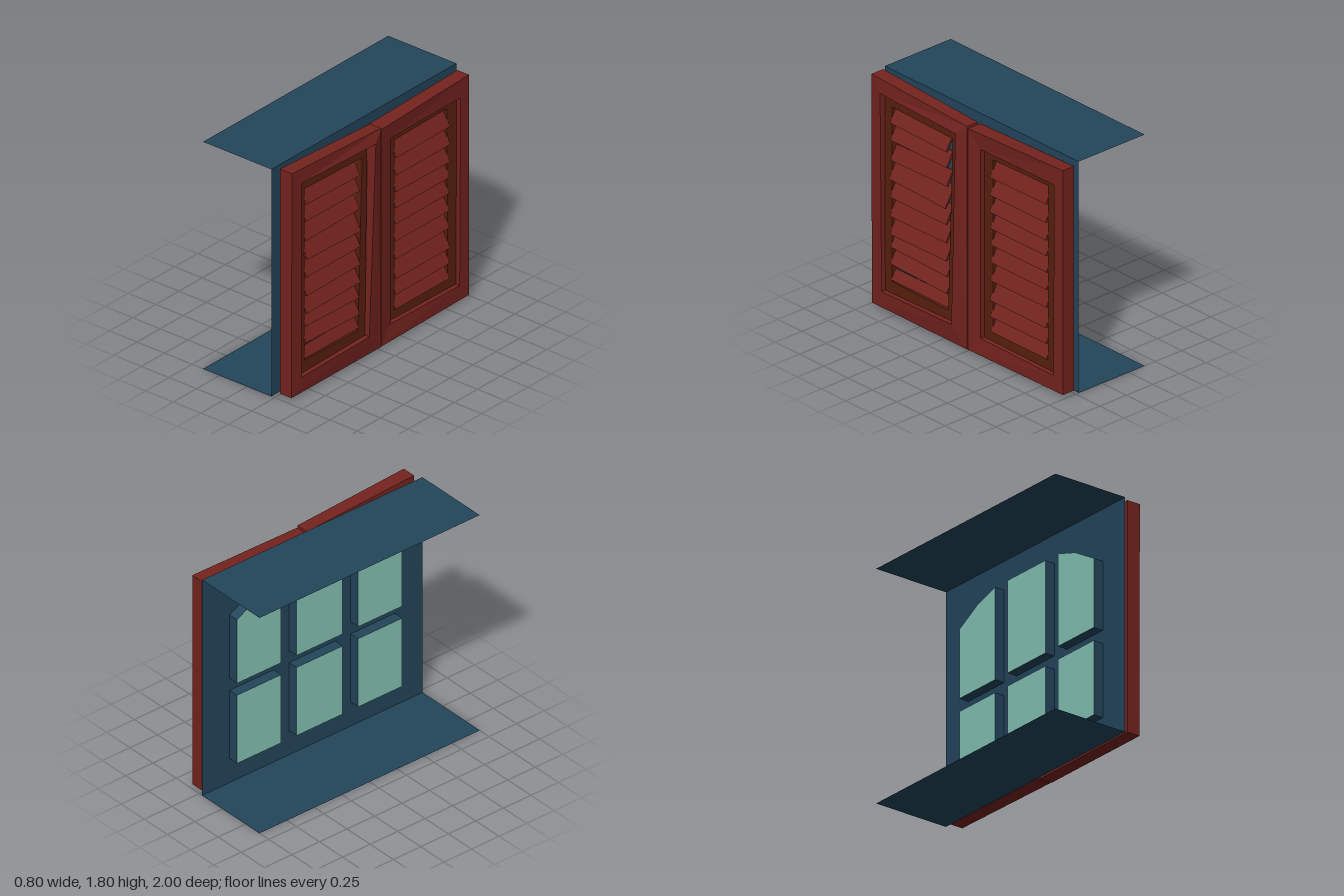
import * as THREE from 'three';

const BLUE = 0x23455b, RED = 0x74231e, DARK_RED = 0x58200f, GLASS = 0x84c2b4;
const material = (color, open = false) => new THREE.MeshStandardMaterial({
  color, flatShading: true, side: open ? THREE.DoubleSide : THREE.FrontSide,
});

function addMesh(parent, name, geometry, mat) {
  const mesh = new THREE.Mesh(geometry, mat);
  mesh.name = name;
  parent.add(mesh);
  return mesh;
}

// Skin between successive loops of [x, y, z] points
function skin(loops, closed) {
  const pos = [];
  const count = closed ? loops.length : loops.length - 1;
  for (let k = 0; k < count; k++) {
    const a = loops[k], b = loops[(k + 1) % loops.length];
    a.forEach((p, i) => {
      const j = (i + 1) % a.length;
      pos.push(...p, ...a[j], ...b[j], ...p, ...b[j], ...b[i]);
    });
  }
  const g = new THREE.BufferGeometry();
  g.setAttribute('position', new THREE.Float32BufferAttribute(pos, 3));
  g.computeVertexNormals();
  return g;
}

// Crooked frame; corners are [z, y] or [z, y, extra x], counterclockwise from +x
function frame(outer, inner, back, front) {
  const at = (loop, x, useExtra) => loop.map(([z, y, e = 0]) => [x + (useExtra ? e : 0), y, z]);
  return skin([at(outer, back), at(outer, front, true), at(inner, front, true), at(inner, back)], true);
}

// Shutter: outer frame, recessed inner frame and tilted slats [top, bottom, roll]
function shutter(name, s) {
  const group = new THREE.Group();
  group.name = name;
  addMesh(group, 'outerFrame', frame(s.outer, s.opening, s.back, s.front), material(RED));
  addMesh(group, 'innerFrame', frame(s.innerOuter, s.innerOpening, s.back + 0.015, s.front - 0.035), material(DARK_RED));
  const tilt = 0.5, thick = 0.016;
  s.slats.forEach(([top, bottom, roll]) => {
    const h = (top - bottom - thick * Math.sin(tilt)) / Math.cos(tilt);
    const slat = addMesh(group, 'slat', new THREE.BoxGeometry(thick, h, 0.58), material(RED));
    slat.position.set((s.back + s.front) / 2, (top + bottom) / 2, s.slatZ);
    slat.rotation.set(roll, 0, tilt);
  });
  return group;
}

// Pane outlines as [z, y]; the upper outer panes have arched corners
function paneOutlines() {
  const rect = (z0, z1, y0, y1) => [[z0, y0], [z1, y0], [z1, y1], [z0, y1]];
  const arched = [[0.35, 0.87], [0.75, 0.87], [0.75, 1.4], [0.54, 1.52], [0.35, 1.58]];
  const low = rect(0.35, 0.75, 0.2, 0.77);
  const mirror = (o) => o.map(([z, y]) => [-z, y]).reverse();
  return [low, mirror(low), rect(-0.21, 0.21, 0.2, 0.77),
    arched, mirror(arched), rect(-0.21, 0.21, 0.87, 1.58)];
}

export function createModel() {
  const model = new THREE.Group();
  const blue = material(BLUE, true);
  const wallX = 0.22, glassX = 0.14;
  const toPoints = (o) => o.map(([z, y]) => new THREE.Vector2(-z, y));

  // Wall sheet with window openings
  const panes = paneOutlines();
  const wall = new THREE.Shape(toPoints([[1, 0], [-1, 0], [-1, 1.8], [1, 1.8]]));
  panes.forEach((o) => wall.holes.push(new THREE.Path(toPoints(o))));
  addMesh(model, 'wall', new THREE.ShapeGeometry(wall).rotateY(Math.PI / 2).translate(wallX, 0, 0), blue);

  // Recess sides and glass panes
  panes.forEach((o) => {
    const at = (x) => o.map(([z, y]) => [x, y, z]);
    addMesh(model, 'windowRecess', skin([at(wallX), at(glassX)], false), blue);
    const glass = new THREE.ShapeGeometry(new THREE.Shape(toPoints(o)));
    addMesh(model, 'glassPane', glass.rotateY(Math.PI / 2).translate(glassX, 0, 0), material(GLASS, true));
  });

  // Thin top and bottom ledges
  [['topLedge', 1.8], ['bottomLedge', 0]].forEach(([name, y]) => {
    const sheet = new THREE.PlaneGeometry(0.62, 2).rotateX(-Math.PI / 2);
    addMesh(model, name, sheet.translate(-0.09, y, 0), blue);
  });

  // Front shutter
  model.add(shutter('frontShutter', {
    back: 0.267, front: 0.378, slatZ: 0.5,
    outer: [[0.965, 1.805], [0.965, 0.025, -0.005], [-0.01, 0.02, -0.01], [-0.01, 1.755, -0.01]],
    opening: [[0.87, 1.69, 0.005], [0.86, 0.15], [0.135, 0.165, 0.005], [0.08, 1.675, 0.018]],
    innerOuter: [[0.865, 1.67], [0.86, 0.15], [0.135, 0.165], [0.11, 1.66]],
    innerOpening: [[0.79, 1.6], [0.79, 0.24], [0.21, 0.235], [0.165, 1.585]],
    slats: [[1.6, 1.47, -0.02], [1.46, 1.34, 0], [1.305, 1.19, 0.02], [1.2, 1.035, -0.03], [1.04, 0.9, 0],
      [0.9, 0.755, 0.01], [0.76, 0.615, 0.01], [0.61, 0.5, -0.03], [0.49, 0.37, -0.03], [0.335, 0.25, 0]],
  }));

  // Rear shutter
  model.add(shutter('rearShutter', {
    back: 0.246, front: 0.35, slatZ: -0.5,
    outer: [[-0.015, 1.74, 0.015], [-0.015, 0.02, 0.015], [-0.98, 0.02], [-0.98, 1.765]],
    opening: [[-0.13, 1.615], [-0.13, 0.145], [-0.88, 0.135], [-0.89, 1.62]],
    innerOuter: [[-0.13, 1.615], [-0.13, 0.145], [-0.88, 0.135], [-0.89, 1.62]],
    innerOpening: [[-0.22, 1.555], [-0.22, 0.215], [-0.79, 0.22], [-0.785, 1.565]],
    slats: [[1.555, 1.42, 0.01], [1.42, 1.28, 0], [1.28, 1.145, -0.01], [1.145, 1.02, 0], [1.0, 0.89, 0],
      [0.87, 0.755, 0], [0.735, 0.615, 0.01], [0.595, 0.46, 0], [0.46, 0.335, 0.01], [0.325, 0.215, 0]],
  }));

  return model;
}
